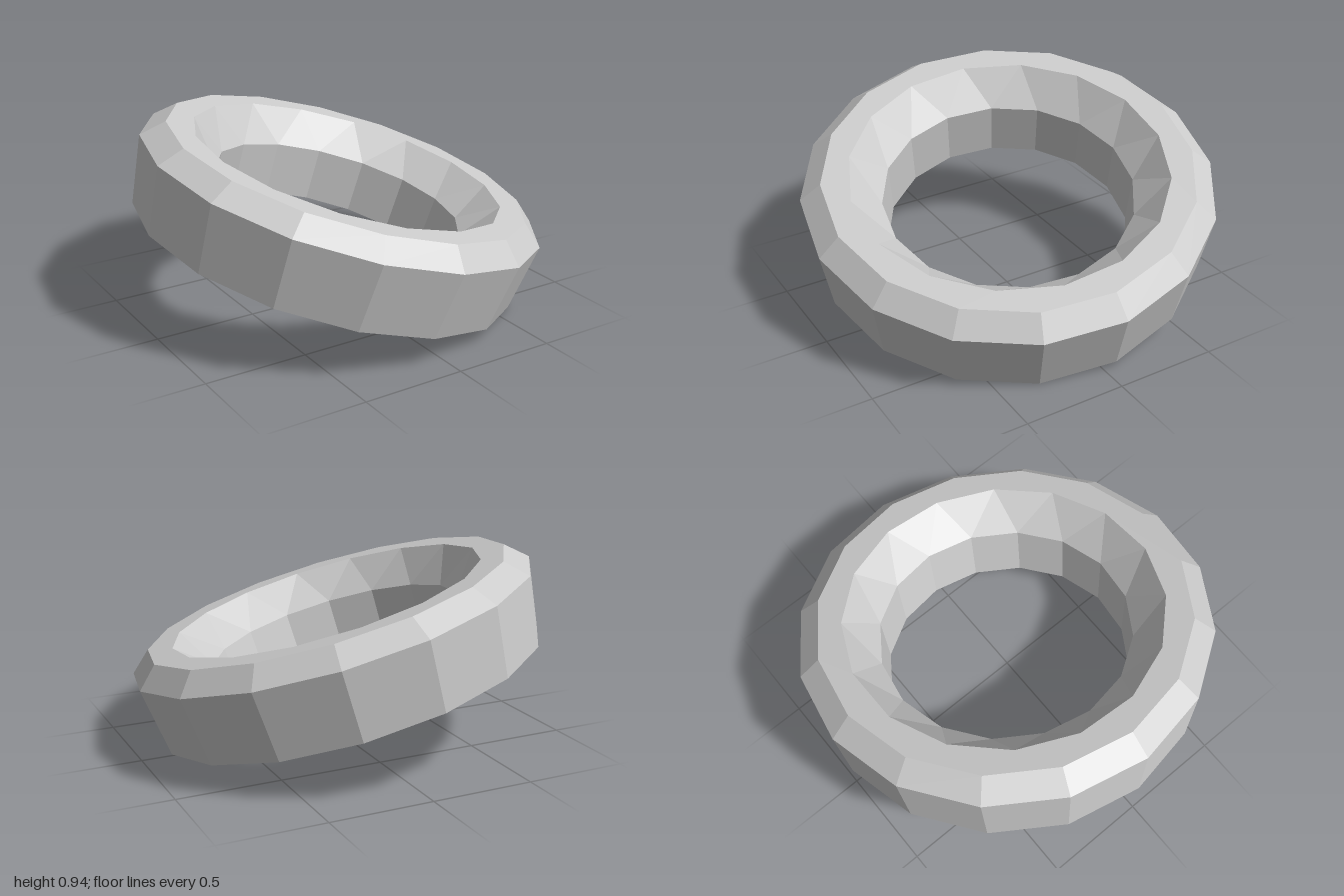
import * as THREE from 'three';

const SIDES = 16;

// Closed cross-section of the ring: [radius, height along axis, twist in degrees]
const PROFILE = [
  [0.607, 0, 0],       // hole, bottom edge
  [0.965, 0, 0],       // outer wall, bottom edge
  [1.01, 0.341, 0],    // outer wall, top edge
  [0.906, 0.434, 0],   // outer bevel, top edge
  [0.779, 0.434, 9.5], // rim, inner edge (twisted nearly half a side)
  [0.622, 0.27, 0],    // foot of the inner funnel
];

function ringGeometry() {
  const positions = [];
  const point = (p, i) => {
    const [r, y, twist] = PROFILE[p % PROFILE.length];
    const a = (i / SIDES) * Math.PI * 2 + THREE.MathUtils.degToRad(twist);
    return [r * Math.cos(a), y, -r * Math.sin(a)];
  };
  for (let p = 0; p < PROFILE.length; p++) {
    for (let i = 0; i < SIDES; i++) {
      const a = point(p, i), b = point(p, i + 1);
      const c = point(p + 1, i + 1), d = point(p + 1, i);
      positions.push(...a, ...b, ...c, ...a, ...c, ...d);
    }
  }
  const geometry = new THREE.BufferGeometry();
  geometry.setAttribute('position', new THREE.Float32BufferAttribute(positions, 3));
  geometry.computeVertexNormals();
  return geometry;
}

export function createModel() {
  const model = new THREE.Group();
  const material = new THREE.MeshStandardMaterial({ color: 0xcccccc, flatShading: true });

  // Faceted ring, leaning toward +x and slightly toward the front
  const ring = new THREE.Mesh(ringGeometry(), material);
  ring.name = 'ring';
  const axis = new THREE.Vector3(0.247, 0.959, 0.131).normalize();
  ring.quaternion.setFromUnitVectors(new THREE.Vector3(0, 1, 0), axis);
  ring.position.set(-0.065, 0.27, -0.045);
  model.add(ring);

  return model;
}
